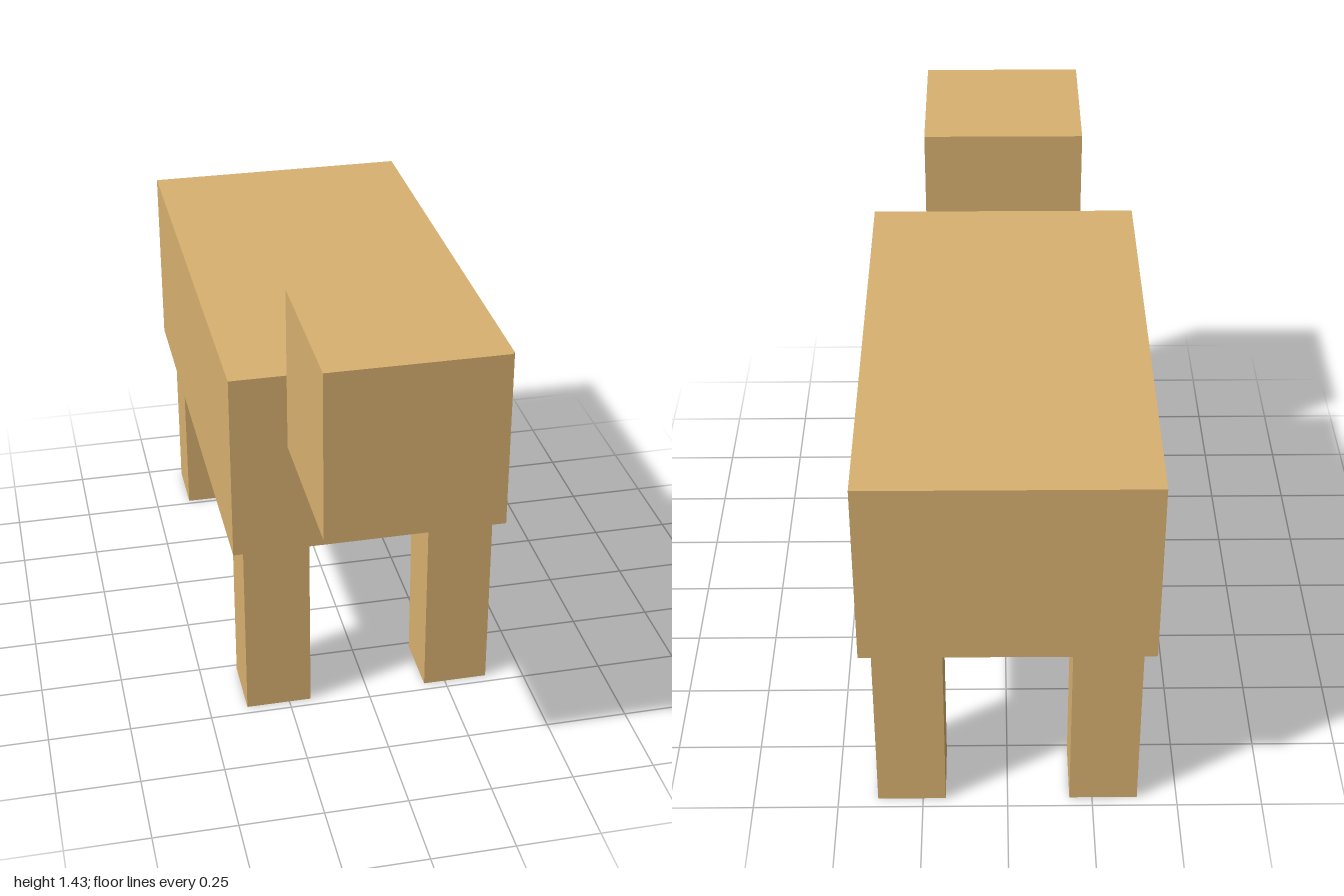
import * as THREE from 'three';

export function createModel() {
  const model = new THREE.Group();
  model.name = 'blockAnimal';
  const hide = new THREE.MeshStandardMaterial({ color: 0xd8b070, flatShading: true });

  const addBox = (name, size, position) => {
    const mesh = new THREE.Mesh(new THREE.BoxGeometry(...size), hide);
    mesh.name = name;
    mesh.position.set(...position);
    model.add(mesh);
  };

  // Torso, with the head set against its front face
  const legHeight = 0.587;
  addBox('body', [0.834, 0.58, 1.5], [0, legHeight + 0.29, -0.25]);
  addBox('head', [0.5, 0.5, 0.5], [0, 1.185, 0.75]);

  // Four legs, mirrored left and right
  for (const [end, z] of [['front', 0.37], ['back', -0.867]]) {
    for (const [side, sign] of [['Left', 1], ['Right', -1]]) {
      addBox(`${end}${side}Leg`, [0.2, legHeight, 0.2], [sign * 0.283, legHeight / 2, z]);
    }
  }

  return model;
}
